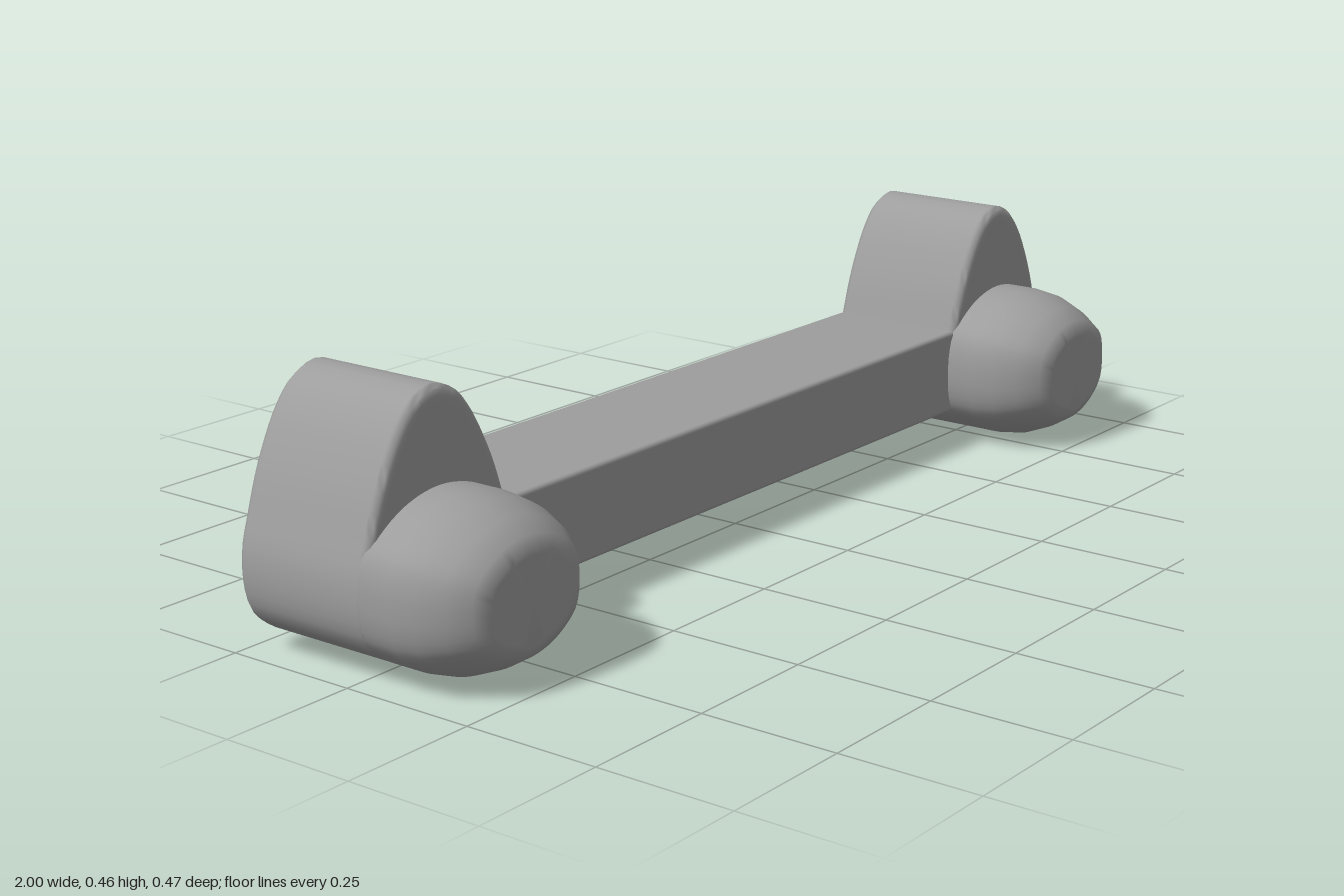
import * as THREE from 'three';
import { toCreasedNormals } from 'three/addons/utils/BufferGeometryUtils.js';
import { RoundedBoxGeometry } from 'three/addons/geometries/RoundedBoxGeometry.js';

const SIDES = 64;

// Closed smooth outline, mirrored in x, from half-profile points [x, y] listed bottom to top
function outline(half) {
  const right = half.map(([x, y]) => new THREE.Vector3(x, y, 0));
  const left = half.slice(1, -1).reverse().map(([x, y]) => new THREE.Vector3(-x, y, 0));
  const curve = new THREE.CatmullRomCurve3([...right, ...left], true);
  return curve.getSpacedPoints(SIDES).slice(0, SIDES);
}

// Solid through scaled copies of an outline; rings are [z, scaleX, scaleY], back to front
function loft(points, cy, rings) {
  const pos = [];
  const index = [];
  for (const [z, sx, sy] of rings) {
    for (const p of points) pos.push(p.x * sx, cy + (p.y - cy) * sy, z);
  }
  for (let r = 0; r < rings.length - 1; r++) {
    for (let i = 0; i < SIDES; i++) {
      const j = (i + 1) % SIDES;
      const a = r * SIDES + i, b = r * SIDES + j;
      index.push(a, b, b + SIDES, a, b + SIDES, a + SIDES);
    }
  }
  const last = (rings.length - 1) * SIDES;
  const back = pos.length / 3;
  pos.push(0, cy, rings[0][0], 0, cy, rings[rings.length - 1][0]);
  for (let i = 0; i < SIDES; i++) {
    const j = (i + 1) % SIDES;
    index.push(back, j, i, back + 1, last + i, last + j);
  }
  const geo = new THREE.BufferGeometry();
  geo.setAttribute('position', new THREE.Float32BufferAttribute(pos, 3));
  geo.setIndex(index);
  return toCreasedNormals(geo, Math.PI / 2.5);
}

export function createModel() {
  const model = new THREE.Group();
  const material = new THREE.MeshStandardMaterial({ color: 0x9d9d9d });
  const add = (parent, name, geo) => {
    const mesh = new THREE.Mesh(geo, material);
    mesh.name = name;
    parent.add(mesh);
    return mesh;
  };

  // Straight bar between the two ends
  const bar = add(model, 'crossbar', new RoundedBoxGeometry(1.37, 0.165, 0.272, 3, 0.008));
  bar.position.set(0, 0.15, -0.095);

  // Lower half shared by the upright and the knob
  const belly = [[0, 0.002], [0.07, 0.014], [0.125, 0.042], [0.16, 0.075], [0.172, 0.11], [0.175, 0.15]];

  // Bell-shaped upright with softened front and back edges
  const bell = outline([
    ...belly, [0.171, 0.19], [0.159, 0.23], [0.136, 0.3],
    [0.114, 0.35], [0.086, 0.4], [0.05, 0.44], [0, 0.459],
  ]);
  const uprightGeo = loft(bell, 0.2, [
    [-0.232, 0.88, 0.88], [-0.232, 0.93, 0.93], [-0.229, 0.97, 0.97], [-0.22, 1, 1], [-0.215, 1, 1],
    [0.028, 1, 1], [0.033, 1, 1], [0.04, 0.97, 0.97], [0.043, 0.93, 0.93], [0.043, 0.88, 0.88],
  ]);

  // Rounded knob tapering to a flat nose
  const round = outline([
    ...belly, [0.172, 0.19], [0.16, 0.225], [0.125, 0.256], [0.07, 0.284], [0, 0.296],
  ]);
  const knobGeo = loft(round, 0.149, [
    [0.031, 1, 1], [0.095, 1, 1], [0.14, 0.97, 0.955], [0.185, 0.86, 0.83],
    [0.221, 0.71, 0.68], [0.234, 0.58, 0.53], [0.234, 0.53, 0.48],
  ]);

  for (const side of [-1, 1]) {
    const end = new THREE.Group();
    end.name = side > 0 ? 'leftEnd' : 'rightEnd';
    end.position.x = side * 0.825;
    add(end, 'upright', uprightGeo);
    add(end, 'frontKnob', knobGeo);
    model.add(end);
  }
  return model;
}
